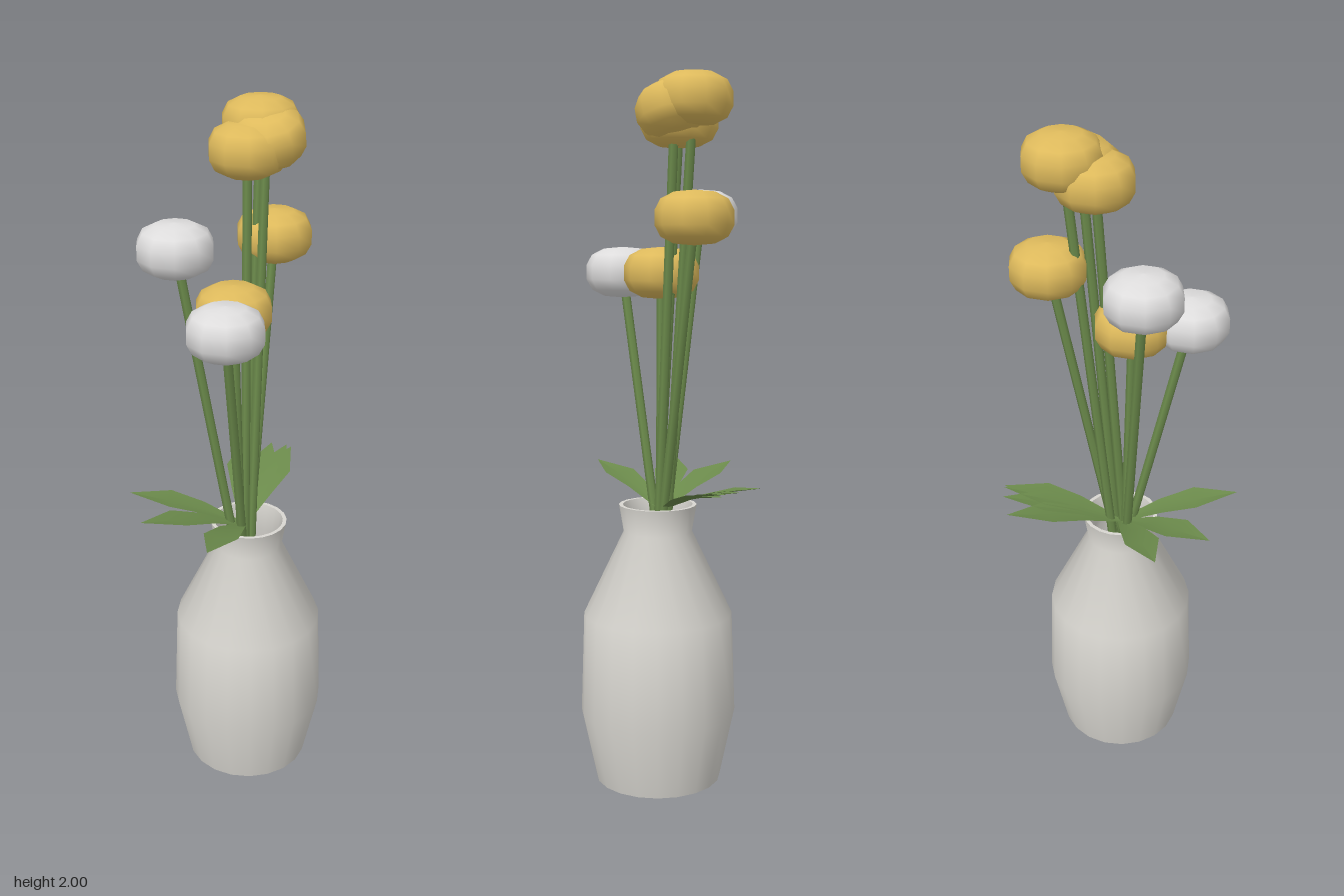
import * as THREE from 'three';
import { toCreasedNormals } from 'three/addons/utils/BufferGeometryUtils.js';

const V2 = (a) => a.map(([x, y]) => new THREE.Vector2(x, y));
const V3 = (a) => new THREE.Vector3(...a);

function material(name, color, side = THREE.FrontSide) {
  const m = new THREE.MeshStandardMaterial({ color, side });
  m.name = name;
  return m;
}

// Leaf: pointed blade, slightly folded along its midrib, from base to tip
function leafGeometry(base, tip, width) {
  const side = new THREE.Vector3(tip.z - base.z, 0, base.x - tip.x).normalize();
  const at = (t, s, lift) => base.clone().lerp(tip, t).addScaledVector(side, s * width / 2).add(V3([0, lift, 0]));
  const rows = [[0, 0.2], [0.35, 0.7], [0.64, 1], [1, 0]];
  const points = [];
  for (const [t, w] of rows) {
    const arch = 0.02 * Math.sin(Math.PI * t);
    points.push(at(t, -w, arch), at(t, 0, arch - 0.008 * w), at(t, w, arch));
  }
  const index = [];
  for (let r = 0; r < rows.length - 1; r++) {
    for (let c = 0; c < 2; c++) {
      const a = r * 3 + c;
      index.push(a, a + 1, a + 3, a + 1, a + 4, a + 3);
    }
  }
  const g = new THREE.BufferGeometry().setFromPoints(points);
  g.setIndex(index);
  g.computeVertexNormals();
  // keep the smooth side facing up
  if (g.attributes.normal.getY(4) < 0) {
    g.setIndex(index.reverse());
    g.computeVertexNormals();
  }
  return g;
}

export function createModel() {
  const group = new THREE.Group();
  const ceramic = material('ceramic', 0xd8d6d0);
  const yellow = material('yellow petals', 0xdeba5c);
  const white = material('white petals', 0xdedddd);
  const green = material('green', 0x6b8a4b, THREE.DoubleSide);

  const add = (name, geometry, mat) => {
    const mesh = new THREE.Mesh(geometry, mat);
    mesh.name = name;
    group.add(mesh);
    return mesh;
  };

  // Vase: outer wall, rim and inner wall in one profile
  const profile = V2([
    [0, 0], [0.18, 0], [0.223, 0.2], [0.213, 0.49], [0.098, 0.73], [0.111, 0.808],
    [0.1, 0.808], [0.087, 0.73], [0.2, 0.485], [0.21, 0.2], [0.17, 0.02], [0, 0.02],
  ]);
  const vase = add('vase', toCreasedNormals(new THREE.LatheGeometry(profile, 20, Math.PI / 2), 0.8), ceramic);
  vase.position.x = 0.055;

  // Flowers: head position, petal colour, tilt, and the stem's lower end
  const headGeometry = new THREE.LatheGeometry(V2([
    [0, -0.073], [0.055, -0.068], [0.09, -0.05], [0.106, -0.02],
    [0.106, 0.02], [0.09, 0.05], [0.055, 0.068], [0, 0.073],
  ]), 10, Math.PI / 2);
  const flowers = [
    [[0.07, 1.612, -0.19], yellow, 0, [0.05, 0.6, 0.01]],
    [[0.04, 1.925, -0.145], yellow, 0, [0.04, 0.6, -0.01]],
    [[0.068, 1.9, -0.1], yellow, 0.3, [0.06, 0.6, 0]],
    [[0.027, 1.873, -0.065], yellow, 0, [0.05, 0.6, 0.02]],
    [[0.018, 1.462, 0.032], yellow, 0, [0.04, 0.6, 0.01]],
    [[-0.137, 1.625, 0.052], white, 0, [0.04, 0.6, 0.01]],
    [[0.042, 1.462, 0.19], white, 0, [0.045, 0.6, -0.01]],
  ];
  for (const [pos, mat, tilt, foot] of flowers) {
    const head = add('flowerHead', headGeometry, mat);
    head.position.set(...pos);
    head.rotation.x = tilt;

    const top = V3(pos), bottom = V3(foot);
    const dir = top.clone().sub(bottom);
    const stem = add('stem', new THREE.CylinderGeometry(0.013, 0.013, dir.length(), 6), green);
    stem.position.copy(top).add(bottom).multiplyScalar(0.5);
    stem.quaternion.setFromUnitVectors(new THREE.Vector3(0, 1, 0), dir.normalize());
  }

  // Leaves spreading over the rim
  const tips = [
    [-0.28, 0.89, 0.085], [-0.19, 0.89, 0.243], [0.035, 0.89, 0.343],
    [-0.055, 0.89, -0.33], [0.033, 0.89, -0.345], [0.08, 0.89, -0.343], [0.095, 0.885, -0.343],
  ];
  for (const tip of tips) {
    add('leaf', leafGeometry(V3([0.04, 0.79, 0]), V3(tip), 0.1), green);
  }
  return group;
}
